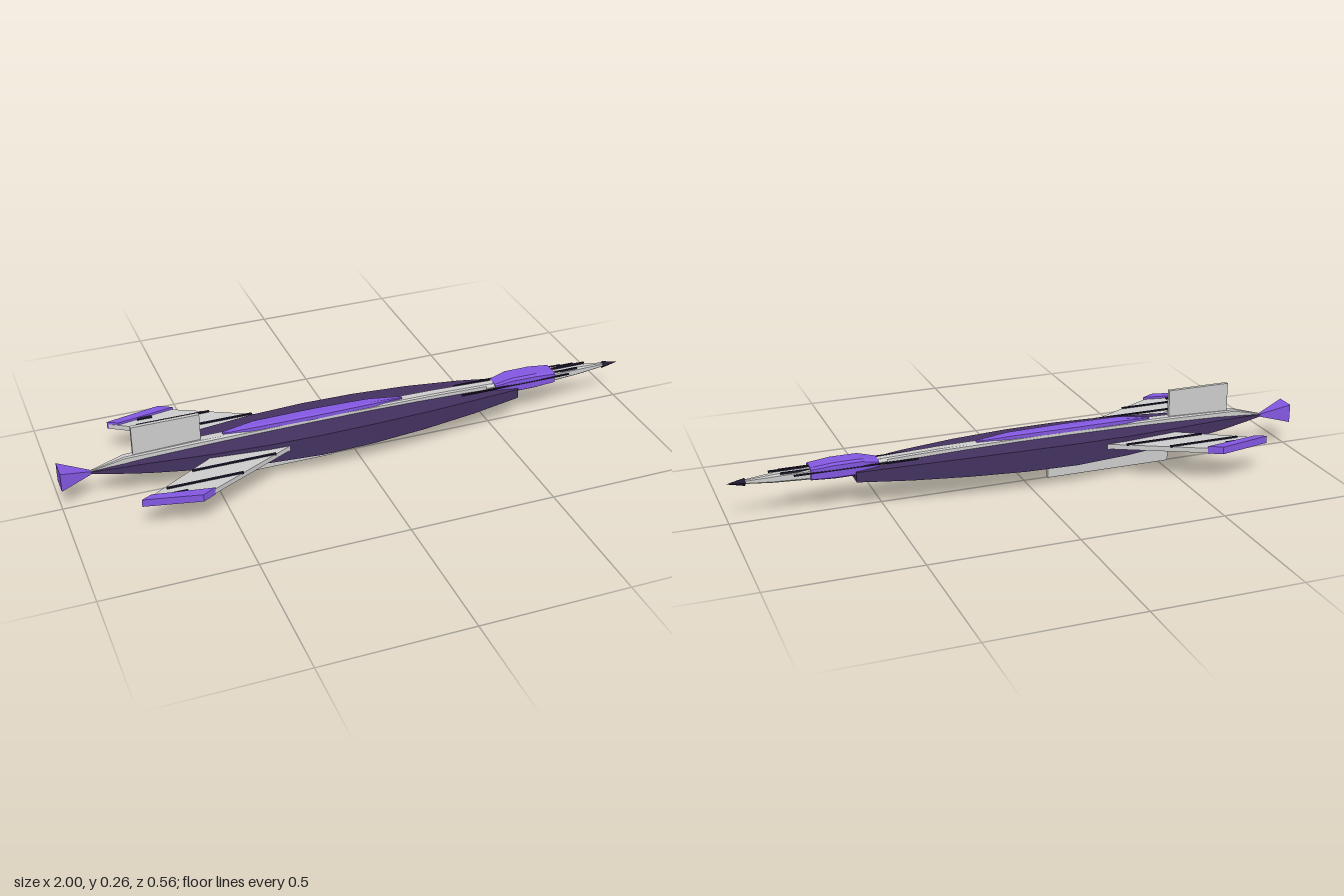
import * as THREE from 'three';

const mat = (color) => new THREE.MeshStandardMaterial({ color, flatShading: true });

// Loft along x. Each section: [x, half width, bottom y, top y]; cut = corner chamfer 0..1
function loft(sections, cut = 0) {
  const c = 1 - cut;
  const ring = cut
    ? [[1, -c], [1, c], [c, 1], [-c, 1], [-1, c], [-1, -c], [-c, -1], [c, -1]]
    : [[1, -1], [1, 1], [-1, 1], [-1, -1]];
  const n = ring.length, last = (sections.length - 1) * n;
  const pos = [], idx = [];
  for (const [x, w, lo, hi] of sections)
    for (const [v, u] of ring) pos.push(x, (lo + hi) / 2 + v * (hi - lo) / 2, u * w);
  for (let i = 0; i < sections.length - 1; i++)
    for (let j = 0; j < n; j++) {
      const a = i * n + j, b = i * n + (j + 1) % n;
      idx.push(a, b, b + n, a, b + n, a + n);
    }
  for (let j = 1; j < n - 1; j++) idx.push(0, j + 1, j, last, last + j, last + j + 1);
  const g = new THREE.BufferGeometry();
  g.setAttribute('position', new THREE.Float32BufferAttribute(pos, 3));
  g.setIndex(idx);
  const flat = g.toNonIndexed();
  flat.computeVertexNormals();
  return flat;
}

// Flat plate from [x, z] corners, between two heights
function plate(points, y0, y1) {
  const shape = new THREE.Shape(points.map(([x, z]) => new THREE.Vector2(x, -z)));
  const g = new THREE.ExtrudeGeometry(shape, { depth: y1 - y0, bevelEnabled: false });
  return g.rotateX(-Math.PI / 2).translate(0, y0, 0);
}

// Box given by its extents
function block(x0, x1, y0, y1, z0, z1) {
  return new THREE.BoxGeometry(x1 - x0, y1 - y0, z1 - z0)
    .translate((x0 + x1) / 2, (y0 + y1) / 2, (z0 + z1) / 2);
}

export function createModel() {
  const model = new THREE.Group();
  model.name = 'spacecraft';
  const grey = mat(0xcccccc), dark = mat(0x43315f), black = mat(0x1f1830), purple = mat(0x8257e0);
  const add = (name, geometry, material, parent = model) => {
    const m = new THREE.Mesh(geometry, material);
    m.name = name;
    parent.add(m);
    return m;
  };

  // Long hull with rectangular sections
  add('hull', loft([
    [-0.91, 0.003, 0.116, 0.121], [-0.82, 0.026, 0.109, 0.13], [-0.72, 0.046, 0.101, 0.138],
    [-0.52, 0.08, 0.09, 0.146], [-0.33, 0.1, 0.081, 0.15], [-0.15, 0.107, 0.075, 0.152],
    [0.03, 0.104, 0.077, 0.152], [0.22, 0.092, 0.083, 0.149], [0.41, 0.071, 0.09, 0.143],
    [0.59, 0.043, 0.099, 0.133],
  ]), dark);

  // Grey spine and purple canopy on top
  add('spine', loft([
    [-0.9, 0.003, 0.117, 0.124], [-0.79, 0.012, 0.125, 0.155], [-0.55, 0.018, 0.13, 0.163],
    [-0.1, 0.02, 0.14, 0.167], [0.3, 0.018, 0.135, 0.163], [0.55, 0.016, 0.125, 0.155],
  ], 0.3), grey);
  add('canopy', loft([
    [-0.46, 0.005, 0.162, 0.169], [-0.35, 0.021, 0.16, 0.18], [-0.15, 0.024, 0.16, 0.181],
    [0.05, 0.019, 0.16, 0.179], [0.17, 0.006, 0.16, 0.169],
  ], 0.35), purple);

  // Tapered nose, collar and pointed tip
  add('nose', loft([
    [0.48, 0.022, 0.12, 0.155], [0.73, 0.025, 0.12, 0.16], [0.85, 0.015, 0.124, 0.152],
    [0.95, 0.005, 0.132, 0.143],
  ], 0.4), grey);
  add('collar', loft([
    [0.51, 0.027, 0.122, 0.157], [0.57, 0.035, 0.117, 0.172], [0.66, 0.036, 0.117, 0.172],
    [0.735, 0.033, 0.121, 0.164],
  ], 0.25), purple);
  add('noseTip', new THREE.ConeGeometry(0.014, 0.06, 4)
    .rotateZ(-Math.PI / 2).translate(0.97, 0.137, 0), black);
  add('topProbe', block(0.73, 0.865, 0.158, 0.163, -0.004, 0.004), black);

  // Flared square tail nozzle
  add('tailNozzle', loft([[-1, 0.035, 0.09, 0.155], [-0.89, 0.003, 0.115, 0.121]]), purple);

  // Vertical fins
  add('upperFin', block(-0.76, -0.535, 0.155, 0.257, -0.0065, 0.0065), grey);
  add('lowerFin', block(-0.535, -0.085, 0, 0.058, -0.0065, 0.0065), grey);

  // Swept wings and side probes, mirrored
  for (const s of [1, -1]) {
    const wing = new THREE.Group();
    wing.name = s > 0 ? 'leftWing' : 'rightWing';
    wing.name = s > 0 ? 'rightWing' : 'leftWing';
    model.add(wing);
    const sided = (pts) => {
      const p = pts.map(([x, z]) => [x, z * s]);
      return s > 0 ? p : p.reverse();
    };
    add('wingPanel', plate(sided([[-0.16, 0.05], [-0.48, 0.05], [-0.785, 0.238], [-0.605, 0.276]]),
      0.116, 0.133), grey, wing);
    add('wingTip', plate(sided([[-0.56, 0.256], [-0.755, 0.222], [-0.79, 0.241], [-0.605, 0.281]]),
      0.1155, 0.141), purple, wing);
    for (const [x0, x1, z, h] of [[-0.7, -0.45, 0.197, 0.004], [-0.6, -0.32, 0.131, 0.004], [-0.69, -0.64, 0.232, 0.005]])
      add('wingStrip', block(x0, x1, 0.13, 0.137, z * s - h, z * s + h), black, wing);
    add('sideProbe', block(0.38, 0.79, 0.146, 0.15, s * 0.034 - 0.003, s * 0.034 + 0.003), black);
    add('noseProbe', block(0.72, 0.83, 0.152, 0.158, s * 0.016 - 0.003, s * 0.016 + 0.003), black);
  }
  return model;
}
